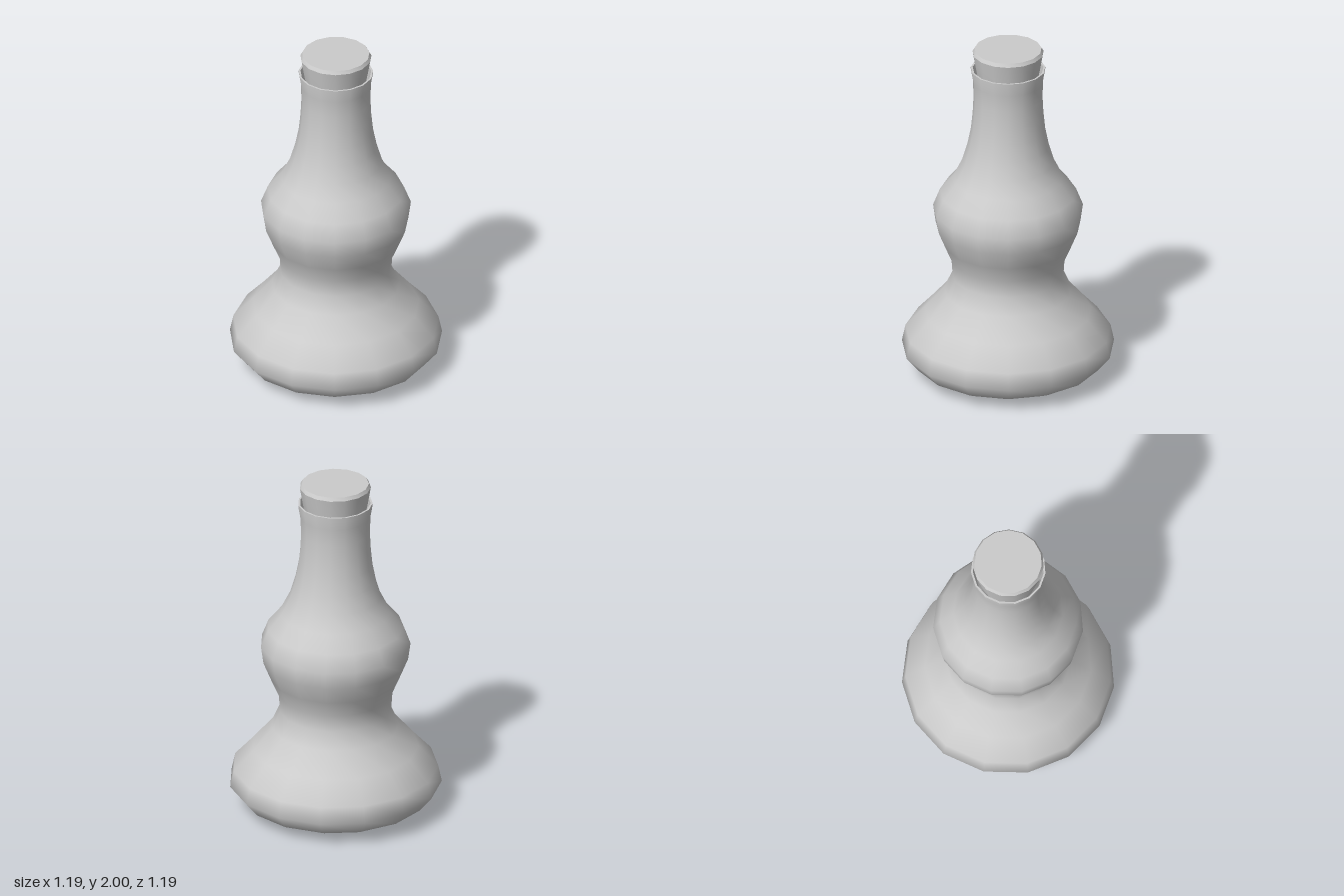
import * as THREE from 'three';
import { toCreasedNormals } from 'three/addons/utils/BufferGeometryUtils.js';

const SIDES = 15;

// Turns a [radius, height] profile around the y axis, keeping sharp edges.
function turned(name, profile, crease) {
  const points = profile.map(([r, y]) => new THREE.Vector2(r, y));
  const geometry = toCreasedNormals(new THREE.LatheGeometry(points, SIDES), crease);
  const material = new THREE.MeshStandardMaterial({ color: 0xcccccc });
  const mesh = new THREE.Mesh(geometry, material);
  mesh.name = name;
  return mesh;
}

export function createModel() {
  const group = new THREE.Group();
  group.name = 'corkedBottle';

  // Double-bulged bottle, ending in a lip that folds into the neck
  const bottle = turned('bottle', [
    [0, 0], [0.33, 0.003], [0.45, 0.03], [0.53, 0.07], [0.6, 0.155],
    [0.58, 0.25], [0.47, 0.37], [0.36, 0.5], [0.315, 0.6], [0.322, 0.7],
    [0.365, 0.8], [0.41, 0.91], [0.424, 1.01], [0.385, 1.11], [0.31, 1.2],
    [0.26, 1.3], [0.23, 1.4], [0.21, 1.5], [0.2, 1.6], [0.195, 1.7],
    [0.199, 1.8], [0.211, 1.87], [0.211, 1.88], [0.2, 1.88], [0.185, 1.8],
    [0.18, 1.65],
  ], 1.1);

  // Tapered cork with a bevelled top
  const cork = turned('cork', [
    [0, 1.7], [0.15, 1.7], [0.184, 1.88], [0.201, 1.98], [0.19, 2], [0, 2],
  ], 0.6);

  group.add(bottle, cork);
  // Odd side count: shift so the front-to-back extent is centred
  group.position.z = -0.0065;
  return group;
}
